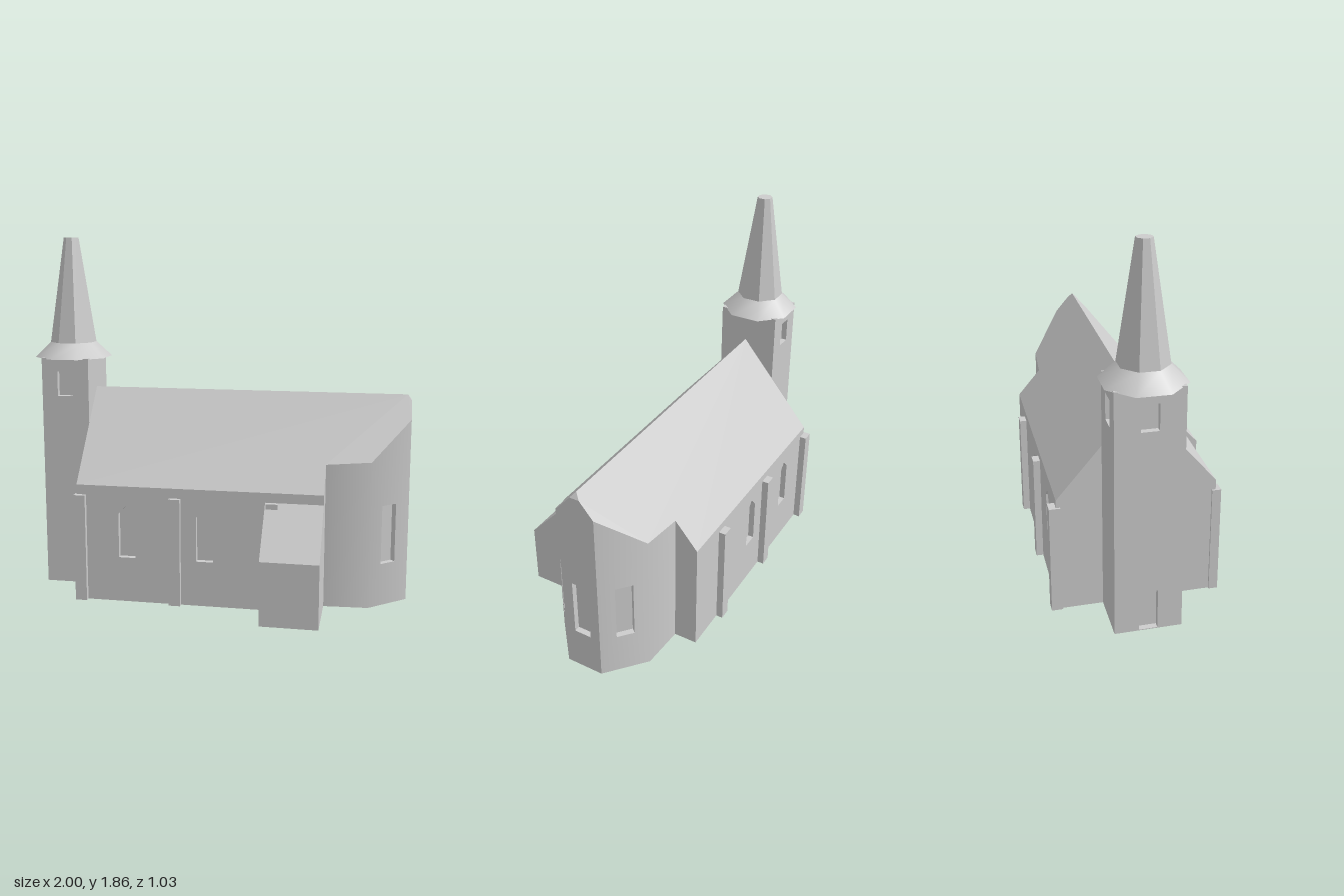
import * as THREE from 'three';

const RIDGE = 1.065, RIDGE_Z = -0.085, SLOPE = 1.18;
const roofY = (z) => RIDGE - SLOPE * Math.abs(z - RIDGE_Z);

const rect = (u, w, y0, y1) => [[u - w / 2, y0], [u + w / 2, y0], [u + w / 2, y1], [u - w / 2, y1]];
const lancet = (u) => [[u - 0.043, 0.235], [u + 0.043, 0.235], [u + 0.043, 0.465], [u, 0.512], [u - 0.043, 0.465]];
const toShape = (pts) => new THREE.Shape(pts.map(([x, y]) => new THREE.Vector2(x, y)));

export function createModel() {
  const model = new THREE.Group();
  model.name = 'church';
  const stone = new THREE.MeshStandardMaterial({ color: 0xcccccc });
  stone.name = 'paleStone';

  const add = (name, geometry, parent = model) => {
    const mesh = new THREE.Mesh(geometry, stone);
    mesh.name = name;
    parent.add(mesh);
    return mesh;
  };
  const fromTriangles = (coords) => {
    const g = new THREE.BufferGeometry();
    g.setAttribute('position', new THREE.Float32BufferAttribute(coords, 3));
    g.computeVertexNormals();
    return g;
  };
  const box = (name, x0, x1, y0, y1, z0, z1, parent) =>
    add(name, new THREE.BoxGeometry(x1 - x0, y1 - y0, z1 - z0), parent)
      .position.set((x0 + x1) / 2, (y0 + y1) / 2, (z0 + z1) / 2);

  // Upright wall from a to b (x, z), left to right seen from outside, with recessed openings.
  // bend = turn of the normal (radians) at each end, for softly rounded corners.
  function wall(name, a, b, top, openings = [], bend = [0, 0], depth = 0.03) {
    const dx = b[0] - a[0], dz = b[1] - a[1], length = Math.hypot(dx, dz);
    const group = new THREE.Group();
    group.name = name;
    group.position.set(a[0], 0, a[1]);
    group.rotation.y = Math.atan2(-dz, dx);
    model.add(group);

    const shape = toShape([[0, 0], [length, 0], ...top(length)]);
    shape.holes = openings.map((o) => new THREE.Path(o.map(([x, y]) => new THREE.Vector2(x, y))));
    const face = new THREE.ShapeGeometry(shape);
    const p = face.attributes.position;
    for (let i = 0; i < p.count; i++) {
      const angle = THREE.MathUtils.lerp(bend[0], bend[1], p.getX(i) / length);
      face.attributes.normal.setXYZ(i, Math.sin(angle), 0, Math.cos(angle));
    }
    add(name + 'Face', face, group);

    for (const o of openings) {
      const pane = new THREE.ShapeGeometry(toShape(o));
      pane.translate(0, 0, -depth);
      add('recessBack', pane, group);
      const sides = [];
      o.forEach(([x0, y0], i) => {
        const [x1, y1] = o[(i + 1) % o.length];
        sides.push(x0, y0, 0, x1, y1, 0, x1, y1, -depth, x0, y0, 0, x1, y1, -depth, x0, y0, -depth);
      });
      add('recessSides', fromTriangles(sides), group);
    }
  }
  const flat = (h) => (l) => [[l, h], [0, h]];
  const sloped = (a, b) => (l) => [[l, roofY(b[1])], [0, roofY(a[1])]];

  // Nave
  const W = -0.68, E = 0.585, S = 0.30, N = -0.48;
  wall('naveFrontWall', [W, S], [E, S], flat(roofY(S)), [lancet(-0.417 - W), lancet(-0.012 - W)]);
  wall('naveBackWall', [E, N], [W, N], flat(roofY(N)), [lancet(E + 0.012), lancet(E + 0.417)]);
  wall('westGable', [W, N], [W, S], (l) => [[l, roofY(S)], [RIDGE_Z - N, RIDGE], [0, roofY(N)]]);
  wall('eastGable', [E, S], [E, N], (l) => [[l, roofY(N)], [S - RIDGE_Z, RIDGE], [0, roofY(S)]]);

  // Apse, running round from the front side to the back side
  const apse = [[E, 0.19], [0.81, 0.176], [1, 0.012], [1, -0.182], [0.81, -0.346], [E, -0.36]];
  const slit = (l) => rect(l, 0.09, 0.22, 0.525);
  const turn = 0.32;
  wall('apseFrontSide', apse[0], apse[1], sloped(apse[0], apse[1]), [], [0, turn]);
  wall('apseFrontDiagonal', apse[1], apse[2], sloped(apse[1], apse[2]), [slit(0.121)], [-turn, 0]);
  wall('apseEnd', apse[2], apse[3], (l) => [
    [l, roofY(apse[3][1])], [0.122, roofY(-0.11)], [0.072, roofY(-0.06)], [0, roofY(apse[2][1])],
  ], [slit(0.097)]);
  wall('apseBackDiagonal', apse[3], apse[4], sloped(apse[3], apse[4]), [slit(0.13)], [0, turn]);
  wall('apseBackSide', apse[4], apse[5], sloped(apse[4], apse[5]), [], [-turn, 0]);

  // Roof slopes: plan outlines lifted onto the pitch
  const roofSlope = (name, plan) => {
    const g = new THREE.ShapeGeometry(toShape(plan.map(([x, z]) => [x, -z])));
    g.rotateX(-Math.PI / 2);
    const p = g.attributes.position;
    for (let i = 0; i < p.count; i++) p.setY(i, roofY(p.getZ(i)));
    g.computeVertexNormals();
    add(name, g);
  };
  const ridge = [[0.98, RIDGE_Z], [W, RIDGE_Z]];
  roofSlope('frontRoof', [[W, S], [E, S], ...apse.slice(0, 3), [1, -0.06], ...ridge]);
  roofSlope('backRoof', [[W, N], [E, N], apse[5], apse[4], apse[3], [1, -0.11], ...ridge]);
  add('roofHip', fromTriangles([0.98, RIDGE, RIDGE_Z, 1, roofY(-0.06), -0.06, 1, roofY(-0.11), -0.11]));

  // Underside of nave and apse
  const floor = new THREE.ShapeGeometry(toShape([[W, S], [E, S], ...apse, [E, N], [W, N]]));
  floor.rotateX(Math.PI / 2);
  add('floor', floor);

  // Buttresses on both long sides
  for (const x of [-0.66, -0.165, 0.33]) {
    box('frontButtress', x - 0.03, x + 0.03, 0, 0.56, S - 0.02, 0.325);
    box('backButtress', x - 0.03, x + 0.03, 0, 0.56, -0.515, N + 0.02);
  }

  // Lean-to porch: side profile pushed along x
  const porch = new THREE.ExtrudeGeometry(
    toShape([[-0.515, 0], [-0.29, 0], [-0.29, 0.572], [-0.515, 0.325]]),
    { depth: 0.29, bevelEnabled: false });
  porch.rotateY(Math.PI / 2);
  porch.translate(0.295, 0, 0);
  add('porch', porch);

  // Tower
  const tw = -0.935, te = -0.68, ts = 0.065, tn = -0.26, th = 1.23;
  const belfry = (l) => rect(l / 2, 0.085, 1.03, 1.16);
  wall('towerFront', [tw, ts], [te, ts], flat(th), [belfry(te - tw)]);
  wall('towerBack', [te, tn], [tw, tn], flat(th), [belfry(te - tw)]);
  wall('towerEast', [te, ts], [te, tn], flat(th));
  wall('towerWest', [tw, tn], [tw, ts], flat(th), [belfry(ts - tn), rect(0.1625, 0.09, 0.004, 0.21)]);
  box('towerBase', tw, te, 0, 0.004, tn, ts);
  box('towerTop', tw, te, th - 0.004, th, tn, ts);

  // Eight-sided flared skirt and spire, flats facing the axes
  const octagon = (name, rTop, rBottom, y0, y1, faceted) => {
    const k = 1 / Math.cos(Math.PI / 8);
    let g = new THREE.CylinderGeometry(rTop * k, rBottom * k, y1 - y0, 8);
    g.rotateY(Math.PI / 8);
    if (faceted) {
      g = g.toNonIndexed();
      g.computeVertexNormals();
    }
    add(name, g).position.set(-0.81, (y0 + y1) / 2, -0.1);
  };
  octagon('spireSkirt', 0.113, 0.19, 1.225, 1.305, false);
  octagon('spire', 0.036, 0.113, 1.305, 1.86, true);

  return model;
}
